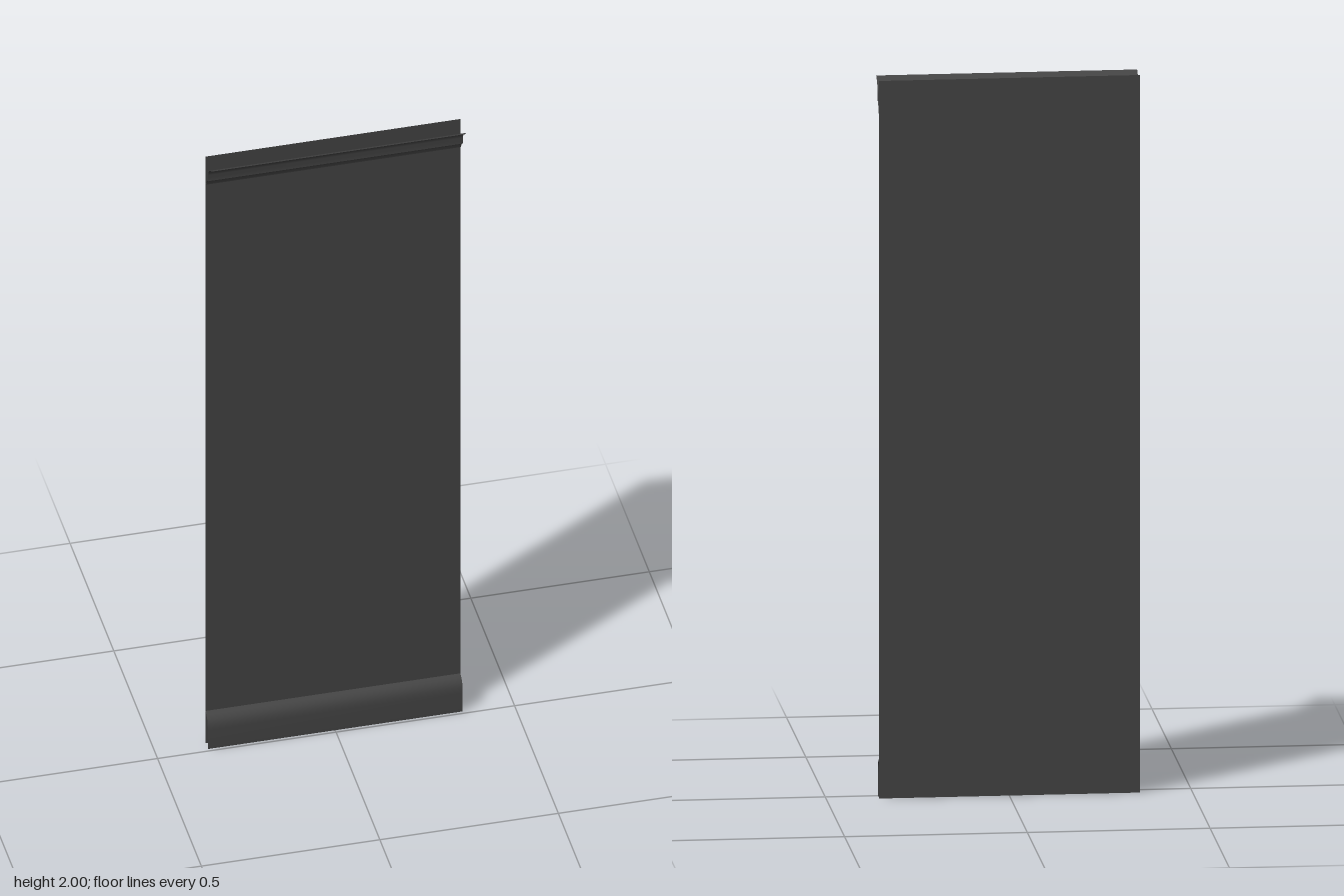
import * as THREE from 'three';
import { toCreasedNormals } from 'three/addons/utils/BufferGeometryUtils.js';

const HALF_WIDTH = 0.357;
const BACK = -0.036; // plane of the wall

const material = new THREE.MeshStandardMaterial({ color: 0x454545, side: THREE.DoubleSide });

// Sweeps an open (z, y) profile, listed bottom to top, along x without end caps
function sweep(name, profile) {
  const positions = [];
  for (let i = 0; i < profile.length - 1; i++) {
    const [a, b] = [profile[i], profile[i + 1]];
    const [p, q, r, s] = [
      [-HALF_WIDTH, a.y, a.x], [HALF_WIDTH, a.y, a.x],
      [HALF_WIDTH, b.y, b.x], [-HALF_WIDTH, b.y, b.x],
    ];
    positions.push(...p, ...q, ...r, ...p, ...r, ...s);
  }
  const geometry = new THREE.BufferGeometry();
  geometry.setAttribute('position', new THREE.Float32BufferAttribute(positions, 3));
  const mesh = new THREE.Mesh(toCreasedNormals(geometry, Math.PI / 5), material);
  mesh.name = name;
  return mesh;
}

export function createModel() {
  const group = new THREE.Group();
  group.name = 'wallPanel';

  // Flat wall sheet
  group.add(sweep('wall', [new THREE.Vector2(BACK, 0), new THREE.Vector2(BACK, 2)]));

  // Baseboard: upright face with a rounded top running back into the wall
  const base = new THREE.Path();
  base.moveTo(-0.009, 0);
  base.lineTo(-0.009, 0.065);
  base.bezierCurveTo(-0.009, 0.09, -0.018, 0.105, BACK, 0.11);
  group.add(sweep('baseboard', base.getPoints(4)));

  // Crown moulding: small lip, rounded step, then a cove flaring to the top
  const crown = new THREE.Path();
  crown.moveTo(BACK, 1.908);
  crown.lineTo(-0.028, 1.91);
  crown.quadraticCurveTo(-0.024, 1.932, -0.006, 1.938);
  crown.lineTo(-0.006, 1.95);
  crown.bezierCurveTo(-0.006, 1.975, 0.008, 1.988, 0.034, 2);
  group.add(sweep('crownMoulding', crown.getPoints(8)));

  return group;
}
